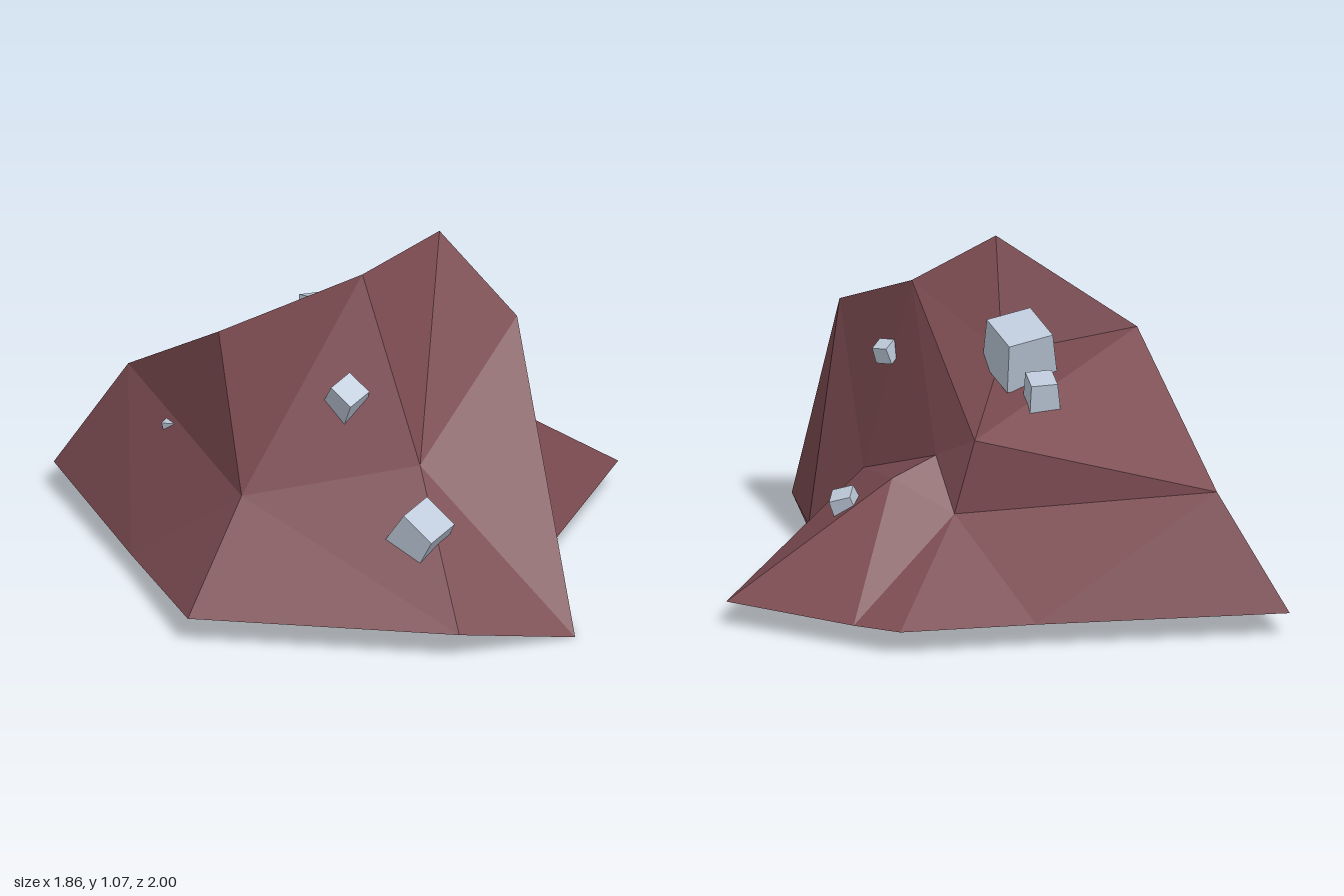
import * as THREE from 'three';

const V = (x, y, z) => new THREE.Vector3(x, y, z);

// Corners of the rock: the foot, then ridges, valleys and summit
const P = {
  backTip: V(-0.4, 0.09, -1), backEdge: V(0.29, 0.09, -0.57), backLeft: V(0.67, 0.09, -0.35),
  side: V(0.74, 0.085, -0.2), leftTip: V(0.93, 0.09, 0.21), notch: V(0.3, 0.09, 0.57),
  frontTip: V(0.02, 0, 1), frontRight: V(-0.38, 0.09, 0.89), rightTip: V(-0.93, 0.09, 0.21),
  rightEdge: V(-0.68, 0.065, -0.33),
  peakR: V(-0.18, 1.067, 0.215), peakL: V(0.254, 1.055, 0.105),
  brow: V(0.25, 0.88, 0.475), chest: V(-0.21, 0.51, 0.52),
  shoulder: V(-0.435, 0.815, -0.185), elbow: V(-0.615, 0.395, 0.12),
  tail: V(-0.28, 0.467, -0.78), saddle: V(-0.12, 0.71, 0.11),
  hip: V(0.235, 0.59, -0.19), spurTop: V(0.265, 0.5, -0.03), spur: V(0.42, 0.45, 0),
  gully: V(0.27, 0.35, 0.33), hollow: V(0.29, 0.343, -0.155),
};

// Each fan joins its first corner to every neighbouring pair of the rest
const SLOPES = [
  'chest frontTip brow peakL peakR elbow frontRight frontTip',
  'gully brow peakL spurTop spur leftTip notch brow',
  'hollow hip spurTop spur side backLeft backEdge tail hip',
  'saddle peakR peakL hip shoulder peakR',
  'elbow peakR shoulder tail rightEdge rightTip frontRight',
  'tail rightEdge backTip backEdge',
  'tail shoulder hip', 'brow frontTip notch', 'peakL spurTop hip', 'spur side leftTip',
];
const BASE = ['side leftTip notch frontTip frontRight rightTip rightEdge backTip backEdge backLeft'];

// Every slope faces upward and the base downward, which fixes the corner order
function addFans(fans, up, out) {
  for (const fan of fans) {
    const [hub, ...rim] = fan.split(' ').map((n) => P[n]);
    for (let i = 0; i < rim.length - 1; i++) {
      const a = rim[i], b = rim[i + 1];
      const ny = b.clone().sub(hub).negate().cross(a.clone().sub(hub)).y;
      const tri = ny * up > 0 ? [hub, a, b] : [hub, b, a];
      tri.forEach((p) => out.push(p.x, p.y, p.z));
    }
  }
}

// Lopsided cube: the top is narrowed and slid a little
function crystalGeometry() {
  const g = new THREE.BoxGeometry(1, 1, 1);
  const pos = g.attributes.position;
  for (let i = 0; i < pos.count; i++) {
    if (pos.getY(i) > 0) {
      pos.setX(i, pos.getX(i) * 0.86 + 0.05);
      pos.setZ(i, pos.getZ(i) * 0.9 - 0.04);
    }
  }
  g.computeVertexNormals();
  return g;
}

export function createModel() {
  const model = new THREE.Group();
  model.name = 'crystalRock';

  // Rock
  const points = [];
  addFans(SLOPES, 1, points);
  addFans(BASE, -1, points);
  const rockGeo = new THREE.BufferGeometry();
  rockGeo.setAttribute('position', new THREE.Float32BufferAttribute(points, 3));
  rockGeo.computeVertexNormals();
  const rock = new THREE.Mesh(rockGeo, new THREE.MeshStandardMaterial({
    color: 0x7a4a50, flatShading: true, side: THREE.DoubleSide,
  }));
  rock.name = 'rock';
  model.add(rock);

  // Crystals: position, size, tilt
  const crystalMat = new THREE.MeshStandardMaterial({ color: 0xbcc8d8, flatShading: true });
  const geo = crystalGeometry();
  const crystals = [
    [[-0.075, 0.785, -0.04], 0.18, [-0.25, -0.2, -0.15]],
    [[-0.03, 0.7, -0.205], 0.1, [-0.2, -0.45, -0.1]],
    [[0, 0.285, -0.535], 0.06, [-0.5, 0.3, -0.3]],
    [[-0.315, 0.7, 0.29], 0.1, [0.6, 0.2, 0.3]],
    [[-0.31, 0.34, 0.635], 0.14, [0.65, 0.25, 0.1]],
    [[0.28, 0.79, 0.205], 0.06, [0.15, 0.3, -0.4]],
    [[0.52, 0.355, 0.115], 0.08, [0.4, 0.6, -0.5]],
    [[-0.39, 0.39, -0.41], 0.085, [-0.2, 0.2, 0.3]],
    [[-0.415, 0.37, -0.34], 0.075, [-0.4, 0.5, 0.5]],
  ];
  crystals.forEach(([at, size, tilt], i) => {
    const crystal = new THREE.Mesh(geo, crystalMat);
    crystal.name = `crystal${i + 1}`;
    crystal.position.set(...at);
    crystal.rotation.set(...tilt);
    crystal.scale.setScalar(size);
    model.add(crystal);
  });
  return model;
}
